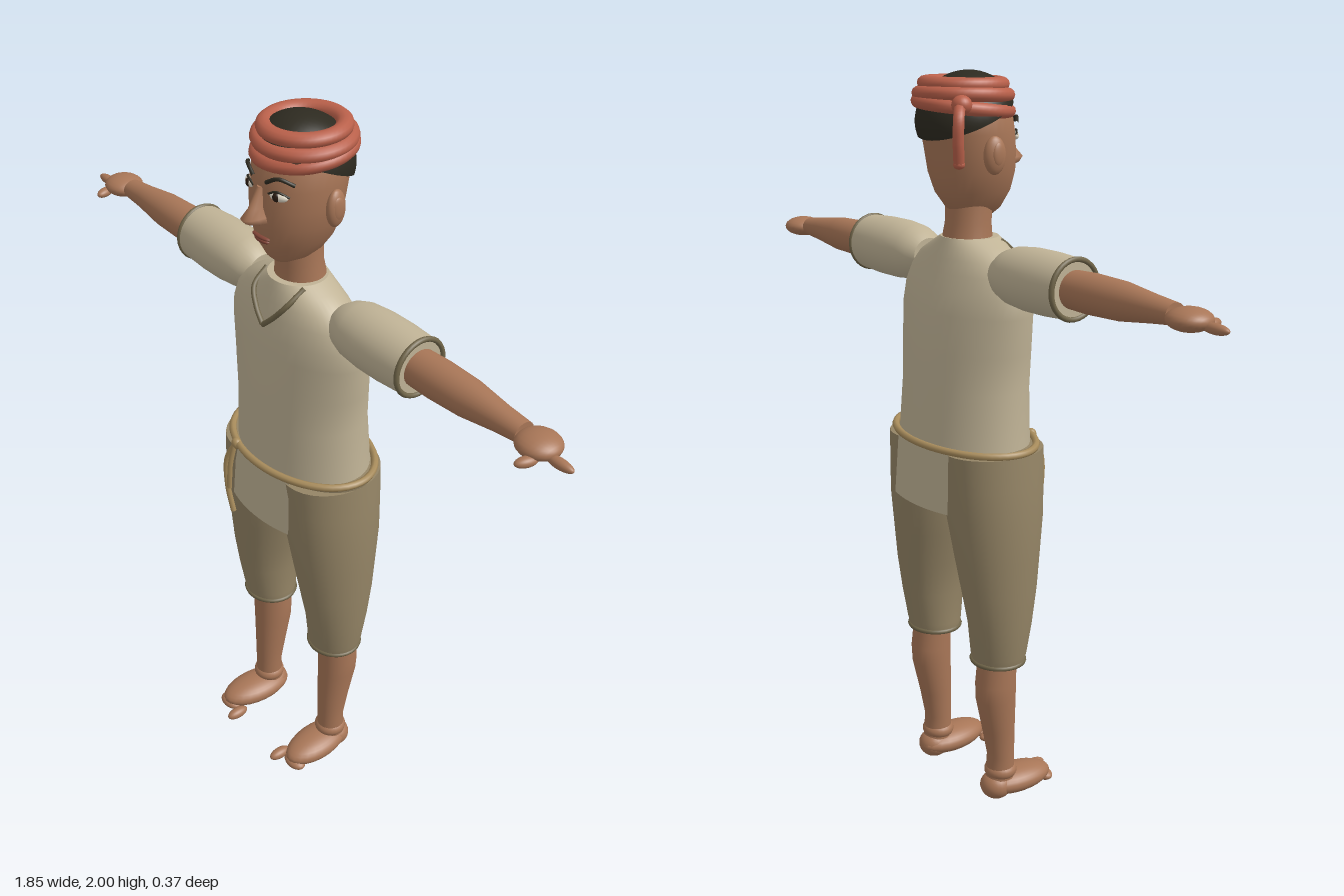
import * as THREE from 'three';

const paint = (name, color) => Object.assign(new THREE.MeshStandardMaterial({ color }), { name });
const V = (p) => new THREE.Vector3(...p);

// Closed skin through elliptical rings [y, centreX, centreZ, radiusX, radiusZ], listed upward
function loft(rows, n = 32) {
  const pos = [], idx = [];
  const ring = ([y, cx, cz, rx, rz]) => {
    for (let i = 0; i < n; i++) {
      const a = (i / n) * Math.PI * 2;
      pos.push(cx + Math.cos(a) * rx, y, cz + Math.sin(a) * rz);
    }
  };
  rows.forEach(ring);
  for (let j = 0; j < rows.length - 1; j++)
    for (let i = 0; i < n; i++) {
      const a = j * n + i, b = j * n + (i + 1) % n;
      idx.push(a, a + n, b, b, a + n, b + n);
    }
  // Flat end caps with their own vertices
  [rows[0], rows[rows.length - 1]].forEach((r, top) => {
    const s = pos.length / 3;
    ring(r);
    pos.push(r[1], r[0], r[2]);
    for (let i = 0; i < n; i++) {
      const a = s + i, b = s + (i + 1) % n;
      top ? idx.push(a, s + n, b) : idx.push(a, b, s + n);
    }
  });
  const g = new THREE.BufferGeometry();
  g.setAttribute('position', new THREE.Float32BufferAttribute(pos, 3));
  g.setIndex(idx);
  g.computeVertexNormals();
  return g;
}

const tube = (pts, r, closed = false) =>
  new THREE.TubeGeometry(new THREE.CatmullRomCurve3(pts.map(V), closed), closed ? 64 : 24, r, 8, closed);

export function createModel() {
  const model = new THREE.Group();
  const skin = paint('skin', 0xa87657), tunic = paint('tunic linen', 0xc0b396), pants = paint('trouser cloth', 0x958566);
  const red = paint('headwrap red', 0xb9604a), hair = paint('hair', 0x2d2a20), rope = paint('rope', 0xa88c5c);
  const trim = paint('trim', 0x71664a), white = paint('eye white', 0xe4dccb), dark = paint('iris', 0x2a1c12);
  const lipMat = paint('lips', 0x834638);
  const flapMat = tunic.clone();
  flapMat.name = 'tunic flap linen';
  flapMat.side = THREE.DoubleSide;

  const add = (name, geo, mat, p = [0, 0, 0], s = [1, 1, 1], r = [0, 0, 0], parent = model) => {
    const m = new THREE.Mesh(geo, mat);
    m.name = name;
    m.position.set(...p);
    m.scale.set(...s);
    m.rotation.set(...r);
    parent.add(m);
    return m;
  };
  const ball = new THREE.SphereGeometry(1, 24, 16);

  // Head and neck
  add('head', loft([
    [1.638, 0, 0.02, 0.03, 0.045], [1.655, 0, 0.008, 0.058, 0.075], [1.7, 0, 0.004, 0.088, 0.103],
    [1.75, 0, 0.001, 0.108, 0.115], [1.8, 0, -0.003, 0.118, 0.117], [1.85, 0, -0.01, 0.12, 0.12],
    [1.9, 0, -0.018, 0.118, 0.119], [1.95, 0, -0.025, 0.095, 0.095], [1.98, 0, -0.025, 0.05, 0.05],
  ]), skin);
  add('neck', loft([[1.55, 0, -0.015, 0.074, 0.068], [1.62, 0, -0.01, 0.062, 0.06], [1.72, 0, -0.005, 0.066, 0.062]]), skin);
  add('nose', loft([
    [1.755, 0, 0.105, 0.014, 0.022], [1.765, 0, 0.11, 0.029, 0.044], [1.778, 0, 0.112, 0.026, 0.054],
    [1.8, 0, 0.108, 0.016, 0.036], [1.85, 0, 0.102, 0.01, 0.014],
  ], 16), skin);
  add('upperLip', ball, lipMat, [0, 1.719, 0.108], [0.032, 0.006, 0.011]);
  add('lowerLip', ball, lipMat, [0, 1.709, 0.105], [0.027, 0.007, 0.011]);
  for (const s of [1, -1]) {
    add('eye', ball, white, [s * 0.054, 1.838, 0.095], [0.025, 0.012, 0.012], [0, s * 0.35, 0]);
    add('iris', ball, dark, [s * 0.053, 1.838, 0.103], [0.01, 0.011, 0.007], [0, s * 0.35, 0]);
    add('upperEyelid', tube([[s * 0.028, 1.84, 0.106], [s * 0.055, 1.852, 0.102], [s * 0.08, 1.84, 0.083]], 0.003), hair);
    add('eyebrow', tube([[s * 0.024, 1.868, 0.11], [s * 0.058, 1.885, 0.1], [s * 0.09, 1.872, 0.075]], 0.005), hair);
    add('ear', ball, skin, [s * 0.123, 1.8, -0.02], [0.018, 0.048, 0.03], [0, s * 0.2, 0]);
    add('earInner', ball, skin, [s * 0.135, 1.803, -0.017], [0.008, 0.03, 0.018]);
  }

  // Hair cap, low at the back, and wound headwrap
  add('hairCap', new THREE.SphereGeometry(1, 40, 16, 0, Math.PI * 2, 0, Math.PI / 2), hair,
    [0, 1.885, -0.02], [0.127, 0.114, 0.13], [-0.4, 0, 0]);
  [[1.969, 0.095, 0.02, 0], [1.943, 0.109, 0.05, -0.03], [1.914, 0.112, 0.1, 0.05]].forEach(([y, R, tx, tz]) =>
    add('headwrapCoil', new THREE.TorusGeometry(R, 0.022, 12, 48), red,
      [0, y, -0.025], [1, 1, 0.85], [Math.PI / 2 + tx, tz, 0]));
  add('headwrapKnot', ball, red, [-0.1, 1.925, -0.105], [0.026, 0.024, 0.026]);
  add('headwrapTail', tube([[-0.1, 1.925, -0.11], [-0.128, 1.895, -0.135], [-0.13, 1.84, -0.138], [-0.122, 1.785, -0.13]], 0.015), red);
  add('headwrapTailTip', ball, red, [-0.122, 1.785, -0.13], [0.015, 0.012, 0.015]);

  // Tunic body, neckline and hanging flaps
  add('tunicBody', loft([
    [1.04, 0, -0.025, 0.215, 0.15], [1.2, 0, -0.02, 0.205, 0.144], [1.3, 0, -0.018, 0.216, 0.138],
    [1.4, 0, -0.014, 0.228, 0.127], [1.45, 0, -0.01, 0.228, 0.118], [1.5, 0, -0.007, 0.21, 0.104],
    [1.535, 0, -0.006, 0.175, 0.093], [1.565, 0, -0.005, 0.12, 0.083], [1.585, 0, -0.005, 0.08, 0.075],
  ], 48), tunic);
  for (const s of [1, -1])
    add('necklineTrim', tube([[s * 0.074, 1.58, 0.035], [s * 0.066, 1.545, 0.082], [s * 0.035, 1.505, 0.1], [0, 1.472, 0.108]], 0.007), trim);
  for (const a of [0, Math.PI])
    add(a ? 'backFlap' : 'frontFlap', new THREE.CylinderGeometry(0.246, 0.262, 0.17, 16, 1, true, a - 0.48, 0.96),
      flapMat, [0, 0.965, -0.022], [1, 1, 0.635]);

  // Trousers seat, rope belt and hanging rope ends
  add('trouserSeat', loft([[0.88, 0, -0.02, 0.1, 0.09], [0.93, 0, -0.02, 0.2, 0.13],
    [0.98, 0, -0.022, 0.236, 0.143], [1.05, 0, -0.022, 0.243, 0.15]], 48), pants);
  const belt = Array.from({ length: 24 }, (_, i) => {
    const a = (i / 24) * Math.PI * 2;
    return [Math.cos(a) * 0.239, 1.052 + Math.cos(a) * 0.004, -0.022 + Math.sin(a) * 0.154];
  });
  add('ropeBelt', tube(belt, 0.01, true), rope);
  add('ropeKnot', ball, rope, [-0.112, 1.048, 0.118], [0.016, 0.016, 0.014]);
  add('ropeEndLong', tube([[-0.112, 1.05, 0.122], [-0.136, 0.99, 0.134], [-0.134, 0.9, 0.136], [-0.117, 0.82, 0.132]], 0.008), rope);
  add('ropeEndShort', tube([[-0.112, 1.05, 0.124], [-0.118, 0.98, 0.137], [-0.124, 0.9, 0.138]], 0.007), rope);

  for (const s of [1, -1]) {
    // Leg and foot
    add('trouserLeg', loft([
      [0.435, s * 0.148, -0.02, 0.075, 0.07], [0.46, s * 0.15, -0.02, 0.08, 0.075], [0.55, s * 0.156, -0.02, 0.084, 0.09],
      [0.65, s * 0.151, -0.02, 0.096, 0.107], [0.75, s * 0.141, -0.02, 0.11, 0.12], [0.85, s * 0.132, -0.02, 0.122, 0.133],
      [0.95, s * 0.125, -0.02, 0.124, 0.139], [1.04, s * 0.12, -0.02, 0.122, 0.142]].map((r) => r)), pants);
    add('trouserHem', new THREE.TorusGeometry(0.074, 0.007, 8, 32), trim, [s * 0.148, 0.437, -0.02], [1, 0.95, 1], [Math.PI / 2, 0, 0]);
    add('shin', loft([
      [0.07, s * 0.15, -0.012, 0.04, 0.042], [0.14, s * 0.15, -0.01, 0.039, 0.038], [0.22, s * 0.15, -0.018, 0.045, 0.046],
      [0.32, s * 0.152, -0.03, 0.053, 0.057], [0.37, s * 0.153, -0.031, 0.055, 0.058], [0.47, s * 0.152, -0.025, 0.053, 0.052]]), skin);
    add('ankle', ball, skin, [s * 0.15, 0.09, -0.01], [0.046, 0.03, 0.046]);
    add('foot', ball, skin, [s * 0.15, 0.046, 0.043], [0.06, 0.037, 0.113], [0, s * 0.08, 0]);
    add('heel', ball, skin, [s * 0.15, 0.045, -0.025], [0.045, 0.04, 0.045]);
    add('bigToe', ball, skin, [s * 0.106, 0.029, 0.15], [0.017, 0.016, 0.035]);
    add('smallToes', ball, skin, [s * 0.16, 0.03, 0.135], [0.038, 0.016, 0.025]);

    // Arm, built upright along y and laid out sideways
    const arm = new THREE.Group();
    arm.name = s > 0 ? 'leftArm' : 'rightArm';
    arm.position.set(0, 1.512, -0.02);
    arm.rotation.z = -s * Math.PI / 2;
    model.add(arm);
    const part = (name, geo, mat, p, sc, r) => add(name, geo, mat, p, sc, r, arm);
    part('sleeve', loft([[0.16, 0, 0, 0.045, 0.05], [0.185, 0, 0, 0.062, 0.066], [0.22, 0, 0, 0.074, 0.076],
      [0.28, 0, 0, 0.08, 0.081], [0.35, 0, 0, 0.08, 0.081], [0.435, 0, 0, 0.075, 0.076]]), tunic);
    part('sleeveHem', new THREE.TorusGeometry(0.073, 0.007, 8, 32), trim, [0, 0.434, 0], [1, 1, 1], [Math.PI / 2, 0, 0]);
    part('forearm', loft([[0.42, 0, 0, 0.047, 0.05], [0.5, 0, 0, 0.05, 0.051], [0.6, 0, 0, 0.047, 0.047],
      [0.7, 0, 0, 0.034, 0.034], [0.77, 0, 0, 0.026, 0.03]]), skin);
    part('palm', ball, skin, [s * 0.004, 0.815, 0], [0.028, 0.056, 0.054]);
    part('fingers', ball, skin, [s * 0.014, 0.885, 0.008], [0.013, 0.041, 0.014]);
    part('thumb', ball, skin, [s * 0.018, 0.832, 0.055], [0.013, 0.015, 0.03], [0.3, 0, 0]);
  }
  return model;
}
